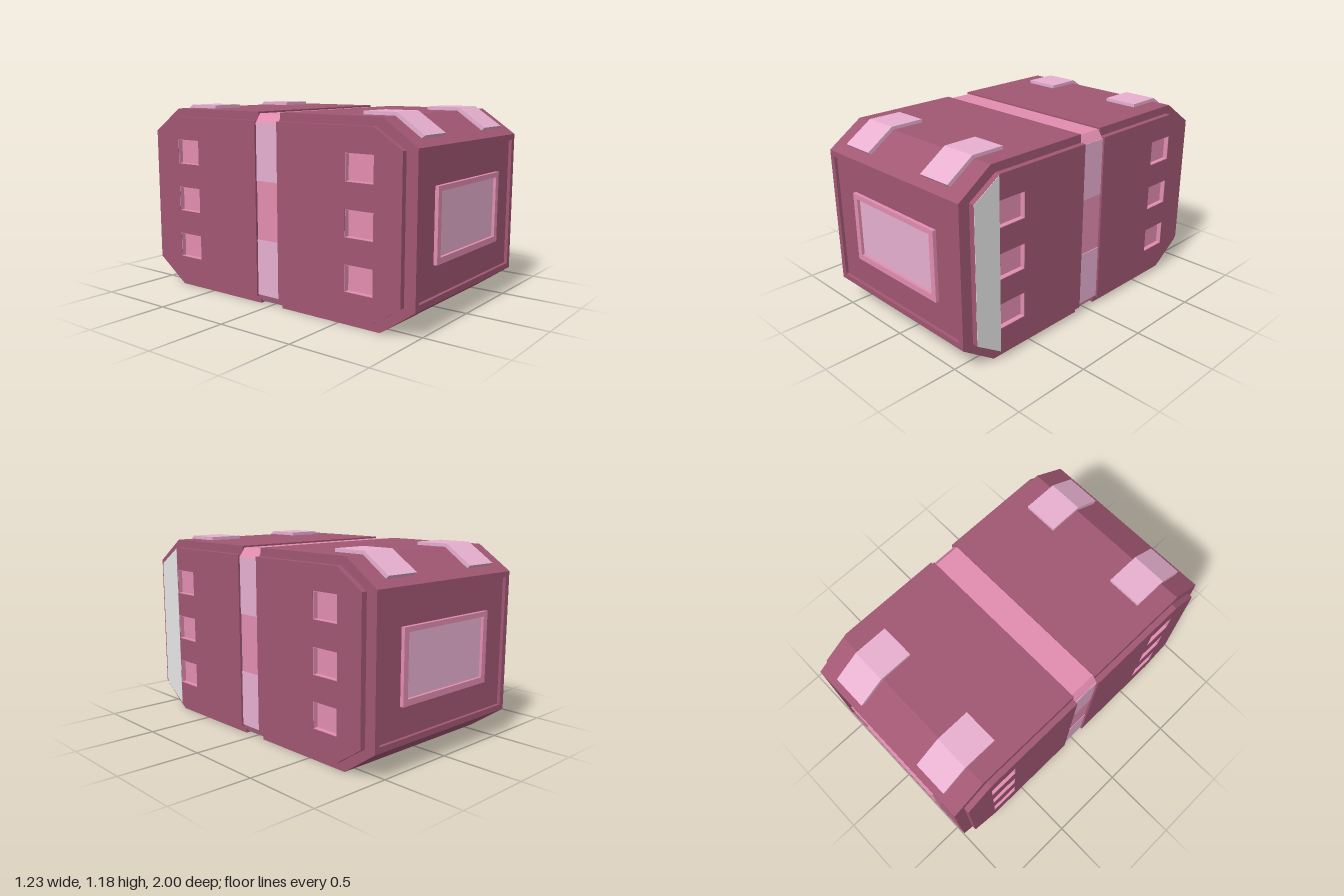
import * as THREE from 'three';

const mat = (name, color) => Object.assign(new THREE.MeshStandardMaterial({ color }), { name });

export function createModel() {
  const maroon = mat('maroon hull', 0xa15772);
  const pink = mat('pink trim', 0xe28db0);
  const lilac = mat('lilac panels', 0xedb4d5);
  const white = mat('white stripe', 0xf2f2f2);

  const model = new THREE.Group();
  model.name = 'cargoPod';

  const add = (parent, name, geometry, material, x = 0, y = 0, z = 0) => {
    const mesh = new THREE.Mesh(geometry, material);
    mesh.name = name;
    mesh.position.set(x, y, z);
    parent.add(mesh);
    return mesh;
  };
  const box = (w, h, d) => new THREE.BoxGeometry(w, h, d);
  const shapeOf = (pts) => new THREE.Shape(pts.map(([a, b]) => new THREE.Vector2(a, b)));
  const rect = (a0, a1, b0, b1) => [[a0, b0], [a1, b0], [a1, b1], [a0, b1]];
  const extrude = (shape, depth) => new THREE.ExtrudeGeometry(shape, { depth, bevelEnabled: false });
  // Outline in (z, y), extruded across x from x0 to x1
  const across = (shape, x0, x1) => extrude(shape, x1 - x0).rotateY(-Math.PI / 2).translate(x1, 0, 0);
  const ring = (outer, inner) => {
    const s = shapeOf(outer);
    s.holes.push(shapeOf(inner));
    return s;
  };

  const GAP = 0.085, HALF = 0.58, PANEL = 0.615, INSET = 0.98;
  const lowEdge = 0.155, highEdge = 1.01;
  const lowInset = lowEdge - 0.02 * 0.155 / 0.22;
  const highInset = highEdge + 0.02 * 0.15 / 0.22;
  const windowRows = [0.2775, 0.5825, 0.8875];

  const buildHalf = (name) => {
    const half = new THREE.Group();
    half.name = name;

    // Hull with chamfered top and bottom
    add(half, 'hull', across(shapeOf([
      [GAP, 0], [0.78, 0], [INSET, lowInset], [INSET, highInset], [0.78, 1.16], [GAP, 1.16],
    ]), -HALF, HALF), maroon);

    // End rim around the recessed panel, its rear edge following the chamfers
    const rim = extrude(ring(rect(-HALF, HALF, lowEdge, highEdge), rect(-0.545, 0.545, 0.19, 0.975)), 0.02);
    const p = rim.attributes.position;
    for (let i = 0; i < p.count; i++) {
      if (p.getZ(i) > 0.01) continue;
      if (p.getY(i) > 1) p.setY(i, highInset);
      if (p.getY(i) < 0.16) p.setY(i, lowInset);
    }
    rim.computeVertexNormals();
    add(half, 'endRim', rim, maroon, 0, 0, INSET);

    // End window
    add(half, 'windowFrame', extrude(ring(
      rect(-0.368, 0.368, 0.365, 0.795), rect(-0.332, 0.332, 0.402, 0.765)), 0.022), pink, 0, 0, INSET);
    add(half, 'windowGlass', box(0.664, 0.363, 0.004), lilac, 0, 0.5835, INSET + 0.002);

    // Side panels with three recessed square windows each
    const panel = shapeOf([
      [GAP, 0.05], [0.75, 0.05], [0.93, 0.17], [0.93, 0.995], [0.75, 1.11], [GAP, 1.11],
    ]);
    for (const y of windowRows) {
      panel.holes.push(shapeOf(rect(0.57, 0.755, y - 0.0775, y + 0.0775)));
    }
    for (const side of [-1, 1]) {
      const x0 = side > 0 ? HALF : -PANEL;
      add(half, 'sidePanel', across(panel, x0, x0 + PANEL - HALF), maroon);
      for (const y of windowRows) {
        const lining = ring(
          rect(0.57, 0.755, y - 0.0775, y + 0.0775), rect(0.573, 0.752, y - 0.0745, y + 0.0745));
        const l0 = side > 0 ? HALF : -PANEL + 0.001;
        add(half, 'sideWindowLining', across(lining, l0, l0 + 0.034), pink);
        add(half, 'sideWindowFloor', box(0.004, 0.155, 0.185), pink, side * (HALF + 0.002), y, 0.6625);
      }

      // Bent strap over the top chamfer
      add(half, 'strap', across(shapeOf([
        [0.575, 1.155], [0.78, 1.155], [0.94, 1.045], [0.962, 1.065], [0.79, 1.18], [0.575, 1.18],
      ]), side * 0.345 - 0.11, side * 0.345 + 0.11), lilac);
    }
    model.add(half);
    return half;
  };

  buildHalf('frontHalf');
  buildHalf('backHalf').rotation.y = Math.PI;

  // Middle band with chamfered corners
  add(model, 'middleBand', extrude(shapeOf([
    [-0.565, 0.01], [0.565, 0.01], [0.6, 0.06], [0.6, 1.1],
    [0.565, 1.15], [-0.565, 1.15], [-0.6, 1.1], [-0.6, 0.06],
  ]), 2 * GAP), pink, 0, 0, -GAP);
  for (const side of [-1, 1]) {
    for (const y of [0.23, 0.9275]) {
      add(model, 'bandPlate', box(0.006, y < 0.5 ? 0.34 : 0.345, 2 * GAP), lilac, side * 0.6, y, 0);
    }
  }

  // Stripe on the left front edge
  add(model, 'sideStripe', across(shapeOf([
    [0.757, 0.055], [0.93, 0.17], [0.93, 0.995], [0.757, 1.105],
  ]), PANEL - 0.002, PANEL + 0.002), white);

  return model;
}
